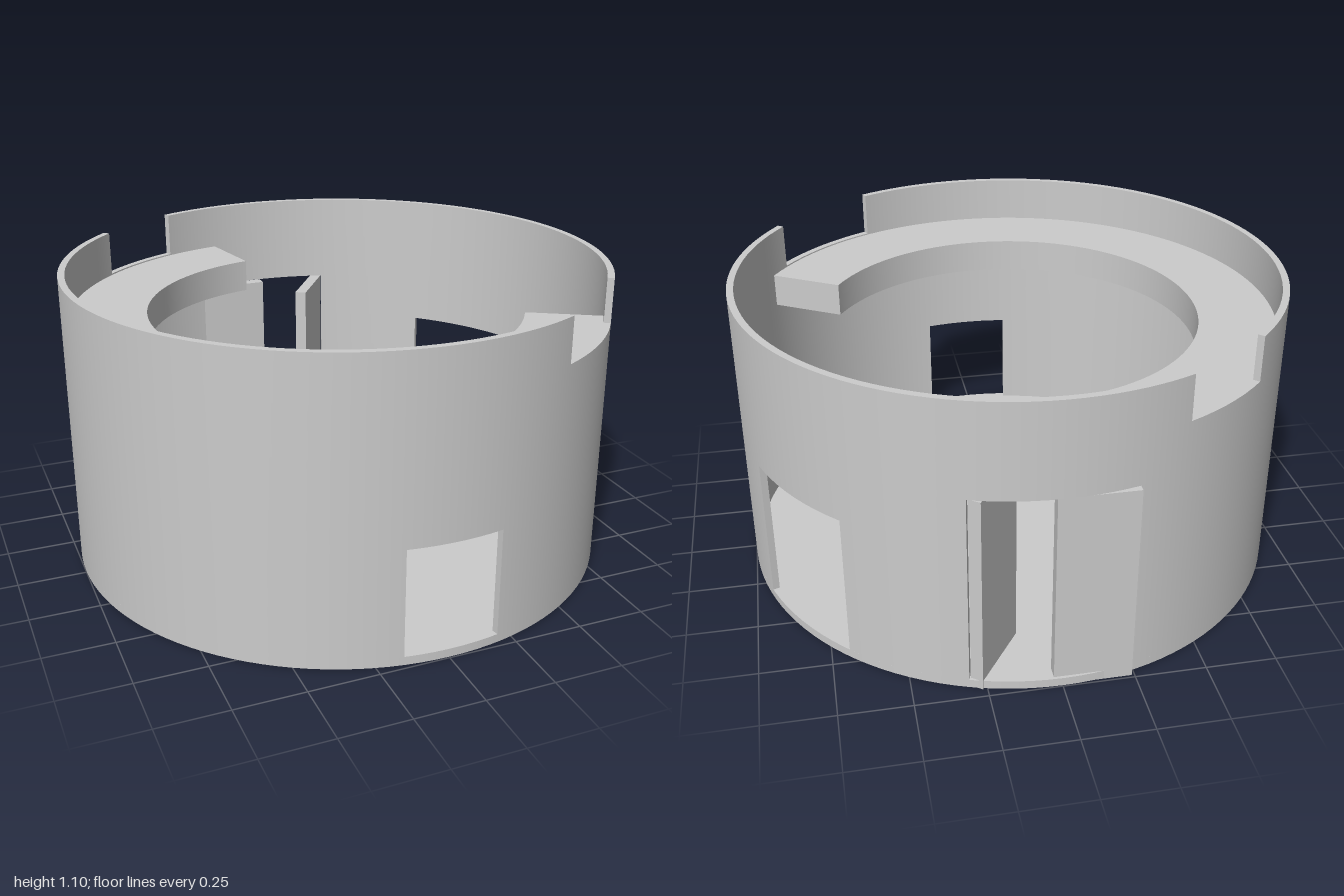
import * as THREE from 'three';

const material = new THREE.MeshStandardMaterial({ color: 0xcccccc });
const FLOOR_BASE = 0.004, FLOOR = 0.035, TOP = 1.095, OUTER = 1, INNER = 0.975;

// Openings in the wall: angles in degrees from +x towards +z, and heights
const openings = [
  { a: [79.3, 99.2], y: [FLOOR, 0.43] },     // front window
  { a: [313.5, 340.1], y: [FLOOR, 0.57] },   // side doorway
  { a: [256, 288], y: [FLOOR, 0.75] },       // back double doorway
  { a: [36, 63], y: [0.93, TOP] },           // front rim notch
  { a: [225, 246], y: [0.93, TOP] },         // back rim notch
];

// Sorted break points from a to b, no further apart than step
function breaks(marks, step) {
  const sorted = [...new Set(marks)].sort((p, q) => p - q);
  const out = [sorted[0]];
  for (let i = 1; i < sorted.length; i++) {
    const lo = sorted[i - 1], n = Math.ceil((sorted[i] - lo) / step);
    for (let k = 1; k <= n; k++) out.push(lo + ((sorted[i] - lo) * k) / n);
  }
  return out;
}

// Curved solid made of cells; faces are emitted only where a cell meets empty space
function curvedSolid(angles, heights, r0, r1, isSolid) {
  const pos = [], nor = [];
  const nA = angles.length - 1, nY = heights.length - 1;
  const closed = angles[nA] - angles[0] === 360;
  const rad = THREE.MathUtils.degToRad;
  const point = (r, a, y) => new THREE.Vector3(r * Math.cos(rad(a)), y, r * Math.sin(rad(a)));
  const radial = (a, s) => point(s, a, 0);
  const solid = (i, j) => {
    if (closed) i = (i + nA) % nA;
    if (i < 0 || j < 0 || i >= nA || j >= nY) return false;
    return isSolid((angles[i] + angles[i + 1]) / 2, (heights[j] + heights[j + 1]) / 2);
  };
  const quad = (p, n) => {
    const face = p[1].clone().sub(p[0]).cross(p[2].clone().sub(p[0]));
    const order = face.dot(n[0]) > 0 ? [0, 1, 2, 0, 2, 3] : [0, 2, 1, 0, 3, 2];
    for (const k of order) {
      pos.push(...p[k].toArray());
      nor.push(...n[k % n.length].toArray());
    }
  };
  for (let i = 0; i < nA; i++) for (let j = 0; j < nY; j++) {
    if (!solid(i, j)) continue;
    const [a, b, y, z] = [angles[i], angles[i + 1], heights[j], heights[j + 1]];
    // outer and inner skins
    for (const [r, s] of [[r1, 1], [r0, -1]]) {
      quad([point(r, a, y), point(r, b, y), point(r, b, z), point(r, a, z)],
        [radial(a, s), radial(b, s), radial(b, s), radial(a, s)]);
    }
    // top and bottom edges
    for (const [h, s] of [[z, 1], [y, -1]]) {
      if (!solid(i, j + s)) {
        quad([point(r0, a, h), point(r1, a, h), point(r1, b, h), point(r0, b, h)],
          [new THREE.Vector3(0, s, 0)]);
      }
    }
    // end faces
    for (const [e, s] of [[b, 1], [a, -1]]) {
      if (!solid(i + s, j)) {
        quad([point(r0, e, y), point(r1, e, y), point(r1, e, z), point(r0, e, z)],
          [radial(e + 90, s)]);
      }
    }
  }
  const geometry = new THREE.BufferGeometry();
  geometry.setAttribute('position', new THREE.Float32BufferAttribute(pos, 3));
  geometry.setAttribute('normal', new THREE.Float32BufferAttribute(nor, 3));
  return geometry;
}

export function createModel() {
  const model = new THREE.Group();
  const add = (name, geometry, x = 0, y = 0, z = 0, turn = 0) => {
    const mesh = new THREE.Mesh(geometry, material);
    mesh.name = name;
    mesh.position.set(x, y, z);
    mesh.rotation.y = turn;
    model.add(mesh);
  };

  // Floor disc
  add('floor', new THREE.CylinderGeometry(OUTER, OUTER, FLOOR - FLOOR_BASE, 120),
    0, (FLOOR + FLOOR_BASE) / 2, 0);

  // Round wall with doorways, window and rim notches
  const wallAngles = breaks([0, 360, ...openings.flatMap((o) => o.a)], 3);
  const wallHeights = breaks([FLOOR, TOP, ...openings.flatMap((o) => o.y)], 2);
  const isWall = (a, y) => !openings.some((o) =>
    a > o.a[0] && a < o.a[1] && y > o.y[0] && y < o.y[1]);
  add('wall', curvedSolid(wallAngles, wallHeights, INNER, OUTER, isWall));

  // Raised walkway around part of the inside
  add('walkway', curvedSolid(breaks([30.4, 259.3], 3), [0.80, 0.925], 0.695, INNER, () => true));

  // Double doors: one closed, one swung inwards
  const door = new THREE.BoxGeometry(0.27, 0.745, 0.045);
  add('closedDoor', door, -0.105, 0.3725, -0.967);
  add('openDoor', door, 0.207, 0.3725, -0.843, 0.963);

  return model;
}
